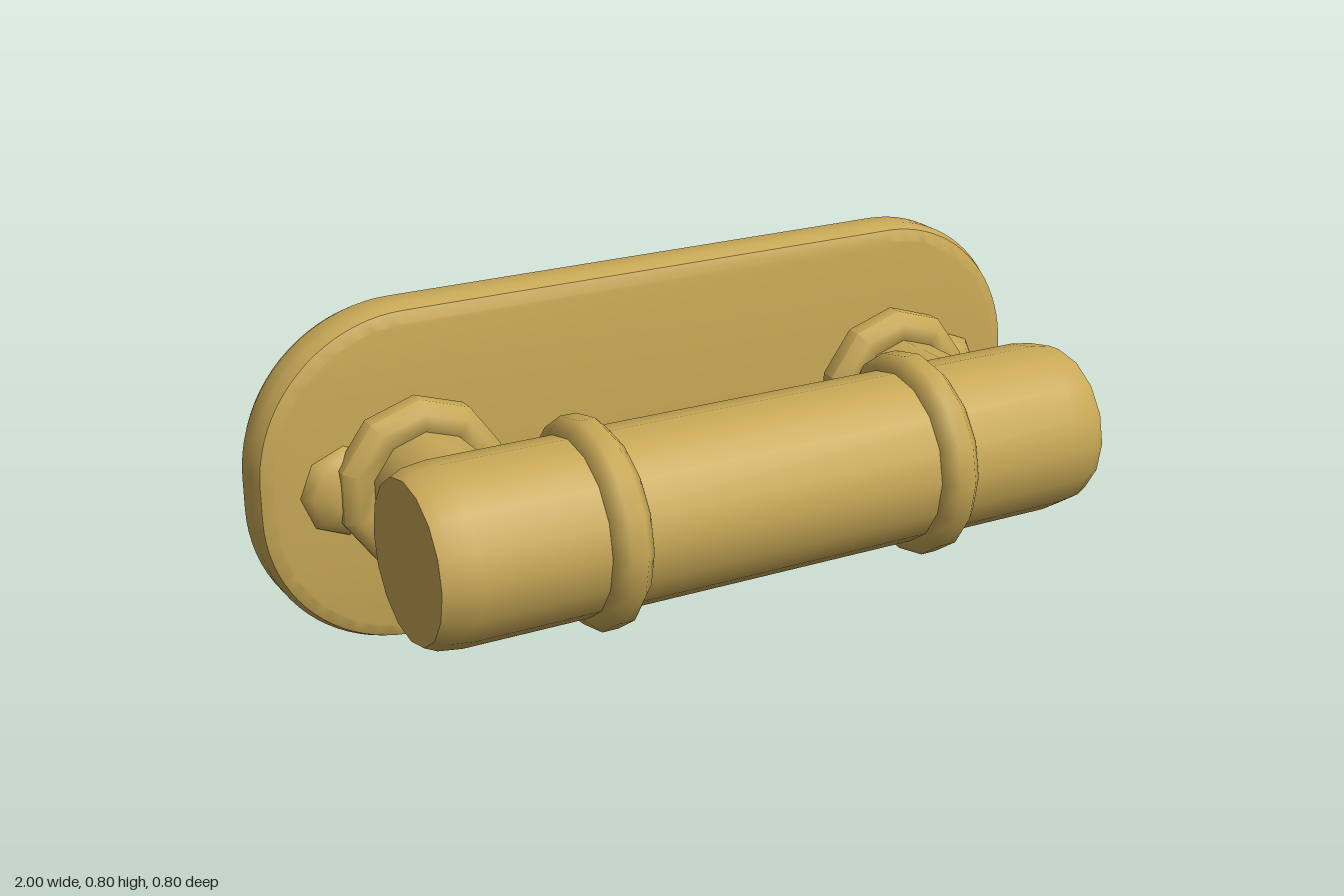
import * as THREE from 'three';
import { toCreasedNormals } from 'three/addons/utils/BufferGeometryUtils.js';

const brass = new THREE.MeshStandardMaterial({ color: 0xc9a957 });
brass.name = 'brass';

function part(name, geometry, x, y, z, crease = 0.75) {
  const mesh = new THREE.Mesh(toCreasedNormals(geometry, crease), brass);
  mesh.name = name;
  mesh.position.set(x, y, z);
  return mesh;
}

// Lathe from [radius, height] pairs, listed from bottom to top
function turned(points, sides) {
  return new THREE.LatheGeometry(points.map(([r, h]) => new THREE.Vector2(r, h)), sides);
}

// Ring with an eight-sided cross-section, flat on its outer side
function ring(radius, tube, sides) {
  const section = [];
  for (let i = 0; i <= 8; i++) {
    const a = (i + 0.5) * Math.PI / 4;
    section.push([radius + tube * Math.cos(a), tube * Math.sin(a)]);
  }
  return turned(section, sides);
}

function plateGeometry() {
  const bevel = 0.038, w = 1 - bevel, h = 0.4 - bevel, r = 0.325;
  const s = new THREE.Shape();
  s.moveTo(-w + r, -h);
  s.lineTo(w - r, -h);
  s.absarc(w - r, -h + r, r, -Math.PI / 2, 0);
  s.lineTo(w, h - r);
  s.absarc(w - r, h - r, r, 0, Math.PI / 2);
  s.lineTo(-w + r, h);
  s.absarc(-w + r, h - r, r, Math.PI / 2, Math.PI);
  s.lineTo(-w, -h + r);
  s.absarc(-w + r, -h + r, r, Math.PI, Math.PI * 1.5);
  return new THREE.ExtrudeGeometry(s, {
    depth: 0.057, bevelThickness: bevel, bevelSize: bevel, bevelSegments: 2, curveSegments: 10,
  });
}

export function createModel() {
  const model = new THREE.Group();
  model.name = 'pullHandle';
  const midY = 0.4, barZ = 0.163;

  // Rounded backing plate
  model.add(part('backPlate', plateGeometry(), 0, midY, -0.362));

  // Grip bar with softened ends
  const bar = turned([
    [0, -0.833], [0.18, -0.833], [0.193, -0.805], [0.2, -0.75],
    [0.2, 0.75], [0.193, 0.805], [0.18, 0.833], [0, 0.833],
  ], 16).rotateZ(-Math.PI / 2);
  model.add(part('gripBar', bar, 0, midY, barZ));

  for (const [side, label] of [[1, 'left'], [-1, 'right']]) {
    // Collar around the bar
    const collar = ring(0.19, 0.05, 16).rotateZ(-Math.PI / 2);
    model.add(part(label + 'Collar', collar, side * 0.413, midY, barZ, 0.9));

    // Post from plate to bar, with a flange at its foot
    const post = new THREE.CylinderGeometry(0.133, 0.133, 0.38, 10).rotateX(Math.PI / 2);
    model.add(part(label + 'Post', post, side * 0.633, midY, -0.09));
    const flange = ring(0.154, 0.05, 10).rotateX(Math.PI / 2);
    model.add(part(label + 'Flange', flange, side * 0.633, midY, -0.233, 0.9));

    // Domed screw head beside the post
    const screw = turned([[0.107, -0.01], [0.105, 0.005], [0.085, 0.028], [0.045, 0.042], [0, 0.046]], 8)
      .rotateX(Math.PI / 2);
    model.add(part(label + 'ScrewHead', screw, side * 0.798, midY, -0.267, 1.0));
  }
  return model;
}
